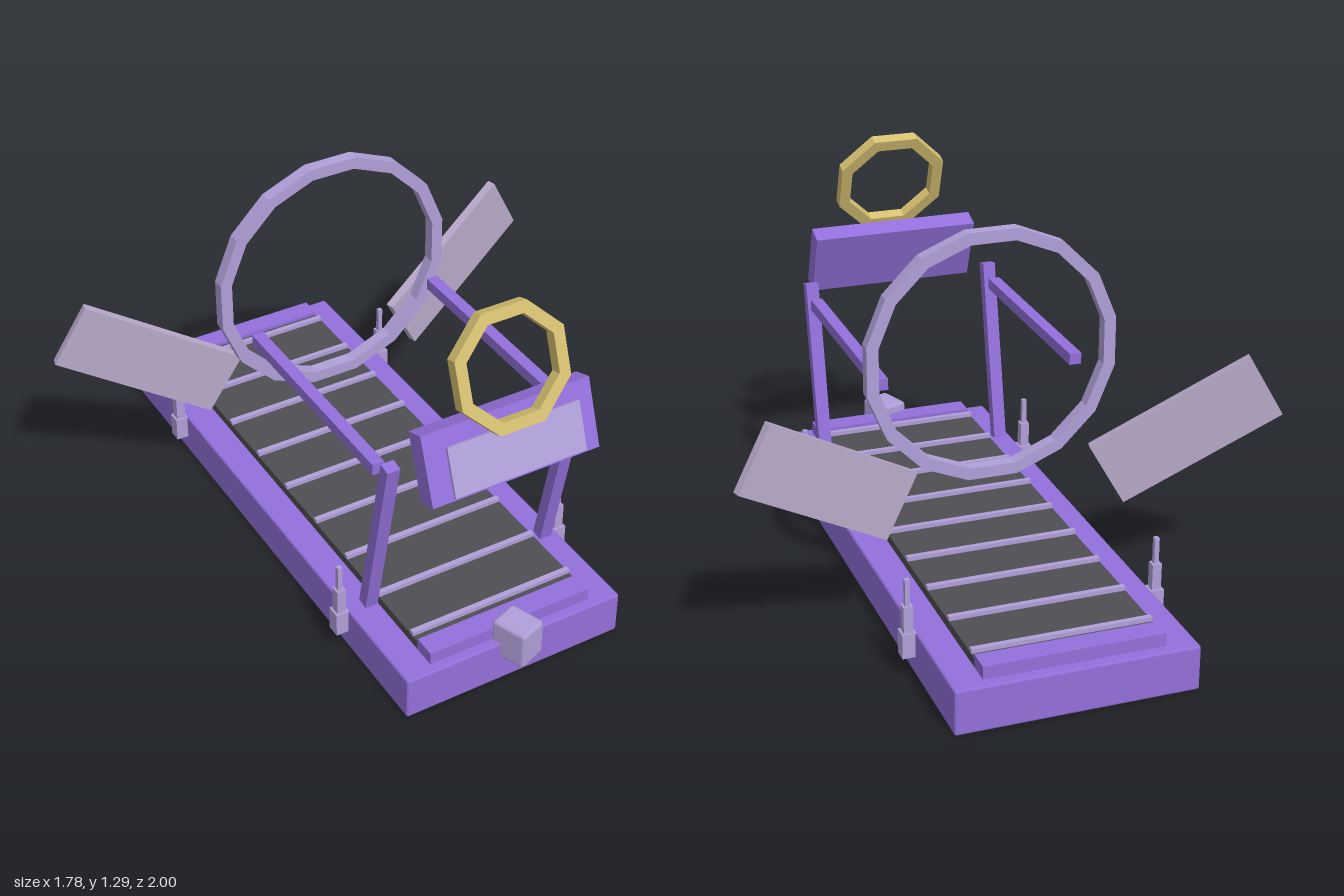
import * as THREE from 'three';
import { RoundedBoxGeometry } from 'three/addons/geometries/RoundedBoxGeometry.js';

const mat = (name, color) => {
  const m = new THREE.MeshStandardMaterial({ color });
  m.name = name;
  return m;
};

export function createModel() {
  const purple = mat('purple', 0x9370db);
  const lavender = mat('lavender', 0xb09fd8);
  const mauve = mat('mauve', 0xb8a9c9);
  const gold = mat('gold', 0xd4c070);
  const charcoal = mat('charcoal', 0x4e4e53);

  const model = new THREE.Group();
  model.name = 'treadmill';

  const add = (parent, name, geometry, material, x = 0, y = 0, z = 0) => {
    const mesh = new THREE.Mesh(geometry, material);
    mesh.name = name;
    mesh.position.set(x, y, z);
    parent.add(mesh);
    return mesh;
  };
  const box = (w, h, d) => new THREE.BoxGeometry(w, h, d);

  // Flat-sided ring with a flat at the top; radii measured to the flats
  const ring = (sides, outer, inner, depth) => {
    const corners = (r) => Array.from({ length: sides }, (_, i) => {
      const a = ((i + 0.5) / sides) * Math.PI * 2;
      const c = r / Math.cos(Math.PI / sides);
      return new THREE.Vector2(Math.cos(a) * c, Math.sin(a) * c);
    });
    const shape = new THREE.Shape(corners(outer));
    shape.holes.push(new THREE.Path(corners(inner).reverse()));
    const g = new THREE.ExtrudeGeometry(shape, { depth, bevelEnabled: false });
    return g.translate(0, 0, -depth / 2);
  };

  // Base and running deck
  add(model, 'base', new RoundedBoxGeometry(0.78, 0.15, 1.92, 1, 0.008), purple, 0, 0.075, -0.04);
  add(model, 'belt', box(0.58, 0.04, 1.7), charcoal, 0, 0.16, -0.04);
  for (const z of [0.85, -0.925]) {
    add(model, 'rollerCover', box(0.58, 0.05, 0.075), purple, 0, 0.168, z);
  }
  for (let i = 0; i < 9; i++) {
    add(model, 'beltSlat', box(0.58, 0.015, 0.018), lavender, 0, 0.187, -0.853 + i * 0.2035);
  }

  // Turned block at the front
  const block = add(model, 'motorBlock', new RoundedBoxGeometry(0.105, 0.13, 0.125, 1, 0.012), lavender, 0, 0.16, 0.925);
  block.rotation.y = 0.35;

  for (const s of [1, -1]) {
    // Leaning upright and handrail
    const upright = add(model, 'upright', box(0.044, 0.64, 0.04), purple, s * 0.327, 0.49, 0.64);
    upright.rotation.x = 0.2;
    add(model, 'handrail', box(0.04, 0.038, 0.766), purple, s * 0.327, 0.75, 0.252);

    // Swept side panel
    const panel = add(model, 'sidePanel', box(0.58, 0.23, 0.03), mauve, s * 0.589, 0.585, -0.42);
    panel.rotation.set(0, s * 0.25, s * 0.52, 'YXZ');

    // Stepped corner pins
    for (const z of [0.537, -0.617]) {
      const pin = new THREE.Group();
      pin.name = 'cornerPin';
      pin.position.set(s * 0.409, 0, z);
      add(pin, 'pinFoot', box(0.046, 0.083, 0.046), lavender, 0, 0.107, 0);
      add(pin, 'pinMiddle', box(0.031, 0.088, 0.031), lavender, 0, 0.192, 0);
      add(pin, 'pinTip', box(0.016, 0.09, 0.016), lavender, 0, 0.28, 0);
      model.add(pin);
    }
  }

  // Hoop over the deck
  add(model, 'hoop', ring(16, 0.412, 0.373, 0.042), lavender, 0, 0.847, -0.231);

  // Tilted console with a raised screen plate
  const consoleGroup = new THREE.Group();
  consoleGroup.name = 'console';
  consoleGroup.position.set(0, 0.85, 0.81);
  consoleGroup.rotation.x = -0.35;
  add(consoleGroup, 'consoleBody', box(0.58, 0.225, 0.068), purple);
  add(consoleGroup, 'screen', box(0.455, 0.158, 0.009), lavender, 0, -0.015, 0.06);
  model.add(consoleGroup);

  // Gold ring above the console
  const goldRing = add(model, 'goldRing', ring(8, 0.184, 0.147, 0.04), gold, 0, 1.111, 0.812);
  goldRing.rotation.x = -0.35;

  return model;
}
